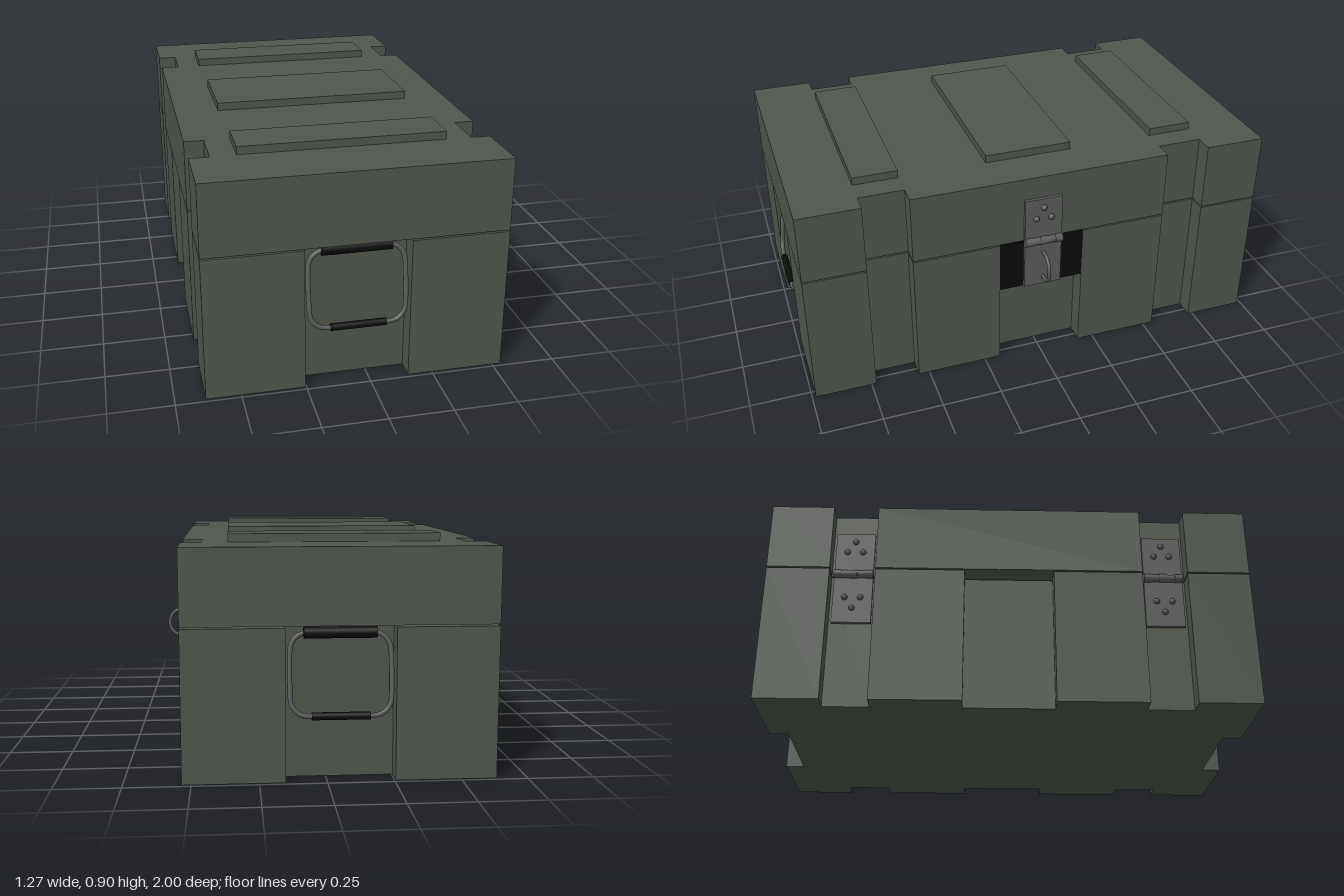
import * as THREE from 'three';

const GREEN = new THREE.MeshStandardMaterial({ color: 0x4f564d });
const STEEL = new THREE.MeshStandardMaterial({ color: 0x5c5c5c });
const BLACK = new THREE.MeshStandardMaterial({ color: 0x0c0c0c });

const CX = -0.05;      // centre line of the box, the latch sticks out on +x
const HW = 0.585, HL = 0.985, IN = 0.5075, SEAM = 0.578;

function add(parent, name, geometry, material, x = 0, y = 0, z = 0) {
  const mesh = new THREE.Mesh(geometry, material);
  mesh.name = name;
  mesh.position.set(x, y, z);
  parent.add(mesh);
  return mesh;
}

// Mirrors a quarter outline into a full footprint and raises it to a prism
function prism(quarter, height) {
  const rev = [...quarter].reverse();
  const outline = [
    ...quarter,
    ...rev.map(([u, v]) => [-u, v]),
    ...quarter.map(([u, v]) => [-u, -v]),
    ...rev.map(([u, v]) => [u, -v]),
  ];
  const shape = new THREE.Shape(outline.map(([u, v]) => new THREE.Vector2(u, v)));
  return new THREE.ExtrudeGeometry(shape, { depth: height, bevelEnabled: false }).rotateX(-Math.PI / 2);
}

// Metal leaf facing +x with three domed rivets; dir is +1 above the pin, -1 below
function leaf(parent, name, dir, rivets) {
  const h = 0.195 + (dir < 0 ? 0.025 : 0);
  add(parent, name, new THREE.BoxGeometry(0.014, h, 0.16), STEEL, 0.007, dir * h / 2, 0);
  if (!rivets) return;
  for (const [y, z] of [[0.155, 0], [0.106, 0.032], [0.106, -0.032]]) {
    const dome = new THREE.SphereGeometry(0.013, 14, 6, 0, Math.PI * 2, 0, Math.PI / 2).rotateZ(-Math.PI / 2);
    add(parent, 'rivet', dome, STEEL, 0.014, dir * y, z);
  }
}

// Pin with five knuckles along z
function pin(parent) {
  for (let i = 0; i < 5; i++) {
    const r = i % 2 ? 0.016 : 0.018;
    add(parent, 'knuckle', new THREE.CylinderGeometry(r, r, 0.032, 16).rotateX(Math.PI / 2), STEEL, 0.018, 0, (i - 2) * 0.032);
  }
}

function hinge(z) {
  const g = new THREE.Group();
  g.name = 'hinge';
  leaf(g, 'upperLeaf', 1, true);
  leaf(g, 'lowerLeaf', -1, true);
  pin(g);
  g.rotation.y = Math.PI;
  g.position.set(CX - IN - 0.008, SEAM, z);
  return g;
}

function latch() {
  const g = new THREE.Group();
  g.name = 'latch';
  leaf(g, 'hasp', 1, true);
  leaf(g, 'haspFlap', -1, false);
  pin(g);
  // Half ring staple for a padlock
  const pts = [new THREE.Vector3(0.01, 0.06, 0)];
  for (let i = 0; i <= 12; i++) {
    const a = Math.PI / 2 - (i / 12) * Math.PI;
    pts.push(new THREE.Vector3(0.034 + 0.056 * Math.cos(a), 0.06 * Math.sin(a), 0));
  }
  pts.push(new THREE.Vector3(0.01, -0.06, 0));
  add(g, 'staple', new THREE.TubeGeometry(new THREE.CatmullRomCurve3(pts), 36, 0.0075, 10), STEEL, 0, -0.12, 0);
  g.position.set(CX + HW, SEAM, 0);
  return g;
}

// Wire loop with two grips, hanging slightly outward
function handle() {
  const g = new THREE.Group();
  g.name = 'handle';
  const w = 0.186, h = 0.153, r = 0.065, pts = [];
  const corners = [[1, 1, 0], [-1, 1, 1], [-1, -1, 2], [1, -1, 3]];
  for (const [sx, sy, q] of corners) {
    for (let i = 0; i <= 5; i++) {
      const a = (q + i / 5) * Math.PI / 2;
      pts.push(new THREE.Vector3(sx * (w - r) + r * Math.cos(a), sy * (h - r) + r * Math.sin(a), 0));
    }
  }
  const loop = new THREE.CatmullRomCurve3(pts, true, 'centripetal');
  add(g, 'wireLoop', new THREE.TubeGeometry(loop, 96, 0.0095, 10, true), STEEL);
  const grip = (name, radius, len, y) =>
    add(g, name, new THREE.CylinderGeometry(radius, radius, len, 18).rotateZ(Math.PI / 2), BLACK, 0, y, 0);
  grip('pivotGrip', 0.022, 0.27, h);
  grip('carryGrip', 0.0145, 0.216, -h);
  g.position.set(0, 0.4, 0.963);
  g.rotation.x = -0.14;
  return g;
}

export function createModel() {
  const model = new THREE.Group();
  model.name = 'storageCrate';

  // Lower box with hinge notches, middle recesses and end recesses
  const ribs = [[HW, 0.545], [IN, 0.545], [IN, 0.73], [HW, 0.73], [HW, HL]];
  const bodyQuarter = [[IN, 0.182], [HW, 0.182], ...ribs, [0.204, HL], [0.204, 0.907]];
  add(model, 'body', prism(bodyQuarter, SEAM - 0.003), GREEN, CX, 0, 0);

  // Lid with raised panels
  add(model, 'lid', prism(ribs, 0.868 - SEAM - 0.003), GREEN, CX, SEAM + 0.003, 0);
  for (const [z, depth] of [[-0.6375, 0.185], [0, 0.366], [0.6375, 0.185]]) {
    add(model, 'lidPanel', new THREE.BoxGeometry(0.815, 0.034, depth), GREEN, CX, 0.883, z);
  }

  // Dark backing block behind the latch
  add(model, 'latchBacking', new THREE.BoxGeometry(HW - IN, 0.22, 0.364), BLACK, CX + (HW + IN) / 2 - 0.001, 0.464, 0);
  model.add(latch());
  for (const s of [-1, 1]) model.add(hinge(s * 0.6375));

  // Carry handles on both ends
  for (const turn of [0, Math.PI]) {
    const end = new THREE.Group();
    end.name = turn ? 'backHandle' : 'frontHandle';
    end.add(handle());
    end.rotation.y = turn;
    end.position.x = CX;
    model.add(end);
  }
  return model;
}
